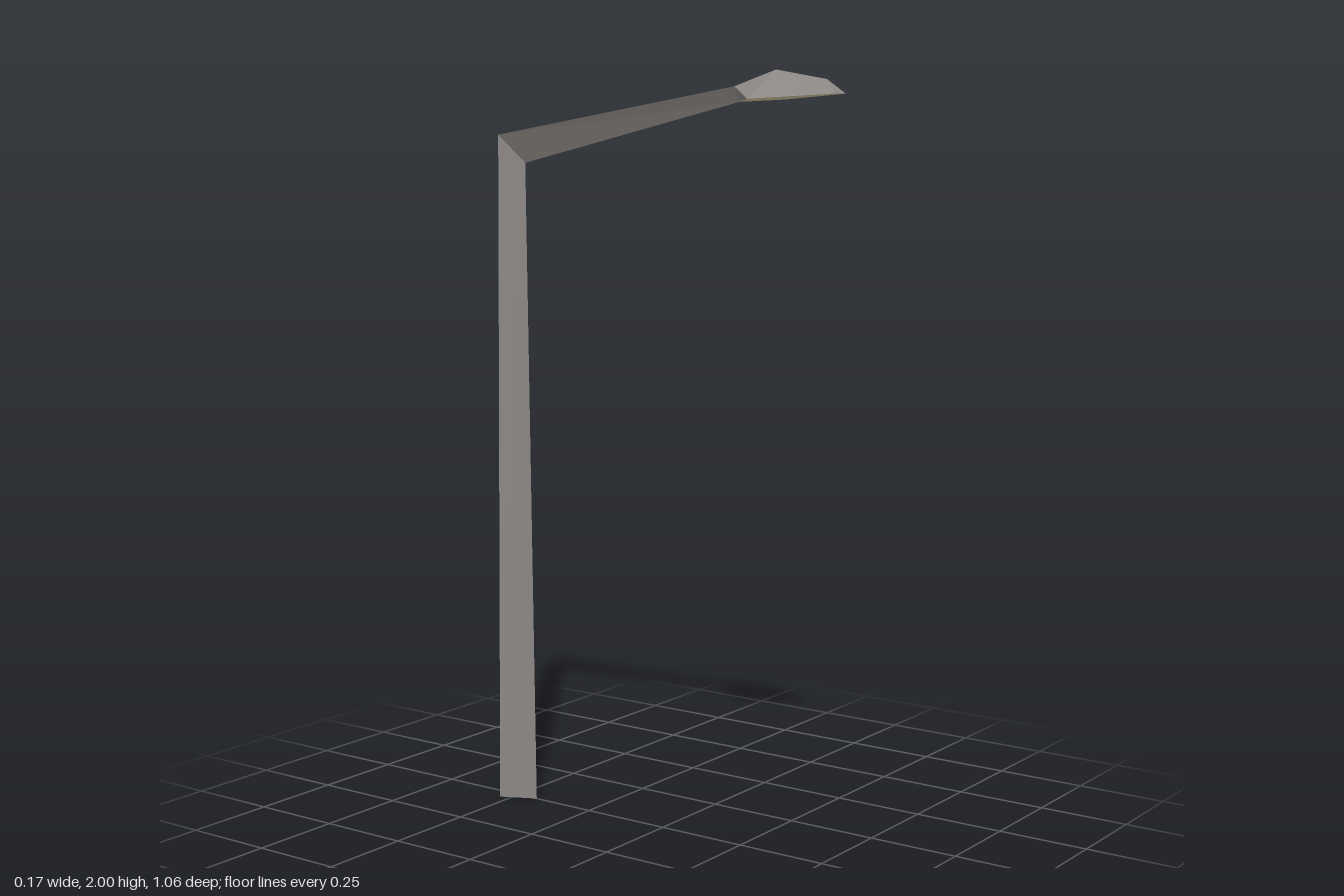
import * as THREE from 'three';

const grey = new THREE.MeshStandardMaterial({ color: 0x8a8683 });
grey.name = 'grey metal';
const cream = new THREE.MeshStandardMaterial({ color: 0xcfc49c });
cream.name = 'cream lamp';

// Flat-shaded mesh from convex faces, each a loop of corner points
function facetMesh(name, material, faces) {
  const pos = [];
  for (const f of faces)
    for (let i = 1; i < f.length - 1; i++) pos.push(...f[0], ...f[i], ...f[i + 1]);
  const geo = new THREE.BufferGeometry();
  geo.setAttribute('position', new THREE.Float32BufferAttribute(pos, 3));
  geo.computeVertexNormals();
  const mesh = new THREE.Mesh(geo, material);
  mesh.name = name;
  return mesh;
}

// Triangular section: two outer corners and one inner apex on the centre plane
const section = (half, outer, apex) => [[half, ...outer], [-half, ...outer], [0, ...apex]];

// Side faces between two sections
const sides = (a, b) => a.map((p, i) => {
  const j = (i + 1) % a.length;
  return [p, a[j], b[j], b[i]];
});

export function createModel() {
  const group = new THREE.Group();
  group.name = 'streetLamp';

  const base = section(0.046, [0, -0.53], [0, -0.435]);
  const elbow = section(0.046, [1.84, -0.51], [1.765, -0.455]);
  const armEnd = section(0.023, [1.96, 0.235], [1.922, 0.235]);

  // Upright and arm share a mitred elbow
  group.add(facetMesh('pole', grey, [...sides(base, elbow), [...base].reverse()]));
  group.add(facetMesh('arm', grey, sides(elbow, armEnd)));

  // Faceted lamp hood
  const [backL, backR, heel] = armEnd;
  const ridge = [0, 2, 0.343], nose = [0, 1.975, 0.49];
  const mirror = (p) => [-p[0], p[1], p[2]];
  const wideR = [-0.086, 1.928, 0.315], tipR = [-0.022, 1.94, 0.53];
  const wideL = mirror(wideR), tipL = mirror(tipR);
  const rightFaces = [
    [backR, wideR, ridge],
    [wideR, tipR, ridge],
    [tipR, nose, ridge],
    [backR, heel, wideR],
  ];
  const leftFaces = rightFaces.map((f) => f.map(mirror).reverse());
  group.add(facetMesh('lampHood', grey, [
    ...rightFaces, ...leftFaces,
    [backL, backR, ridge],
    [tipR, tipL, nose],
  ]));

  // Light panel on the underside
  group.add(facetMesh('lightPanel', cream, [[heel, wideL, tipL, tipR, wideR]]));
  return group;
}
